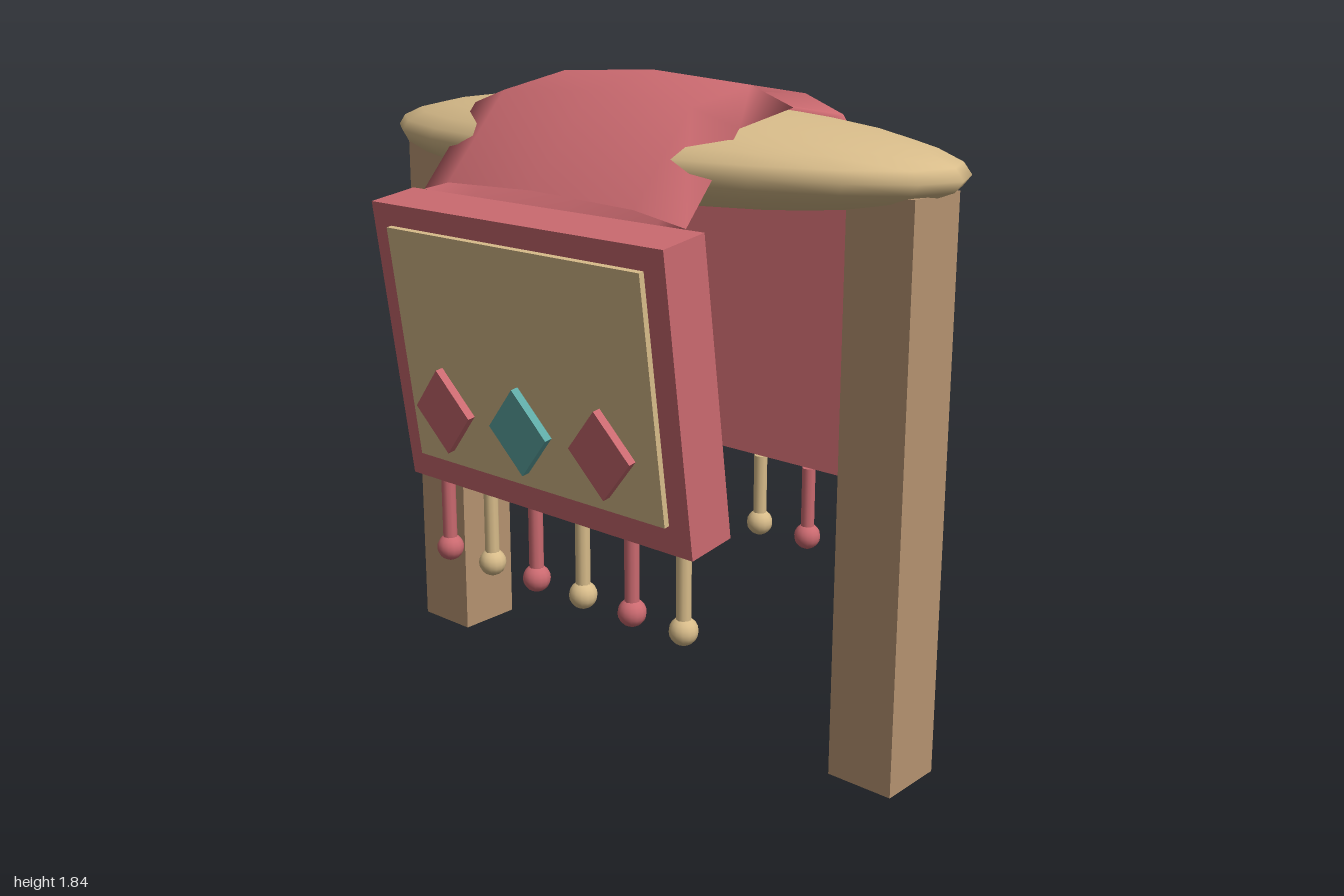
import * as THREE from 'three';

const material = (name, color) => Object.assign(new THREE.MeshStandardMaterial({ color }), { name });

export function createModel() {
  const red = material('rose red', 0xcb6a70);
  red.side = THREE.DoubleSide; // the strap is an open tube
  const tan = material('sand', 0xd8bc8a);
  const wood = material('wood brown', 0xb49270);
  const teal = material('teal', 0x5faaa6);

  const model = new THREE.Group();
  model.name = 'saddlebagStand';

  const add = (parent, name, geometry, mat, x, y, z) => {
    const mesh = new THREE.Mesh(geometry, mat);
    mesh.name = name;
    mesh.position.set(x, y, z);
    parent.add(mesh);
    return mesh;
  };

  // Wooden posts and the flattened beam they carry
  const postGeometry = new THREE.BoxGeometry(0.2, 1.59, 0.2);
  add(model, 'leftPost', postGeometry, wood, 0.83, 0.795, 0);
  add(model, 'rightPost', postGeometry, wood, -0.83, 0.795, 0);
  const beamGeometry = new THREE.SphereGeometry(1, 20, 14).scale(1, 0.135, 0.38);
  add(model, 'beam', beamGeometry, tan, 0, 1.63, 0);

  add(model, 'strap', strapGeometry(), red, 0, 0, 0);

  const bagGeometry = new THREE.BoxGeometry(1.08, 0.825, 0.152);
  const panelGeometry = new THREE.BoxGeometry(0.94, 0.68, 0.02);
  const diamondShape = new THREE.Shape([
    new THREE.Vector2(0.108, 0), new THREE.Vector2(0, 0.125),
    new THREE.Vector2(-0.108, 0), new THREE.Vector2(0, -0.125),
  ]);
  const diamondGeometry = new THREE.ExtrudeGeometry(diamondShape, { depth: 0.024, bevelEnabled: false });
  diamondGeometry.translate(0, 0, -0.012);
  const cordGeometry = new THREE.CylinderGeometry(0.021, 0.021, 0.2, 10);
  const beadGeometry = new THREE.SphereGeometry(0.04, 14, 10);

  // One hanging bag on each side, tilted outward at the top
  for (const side of [1, -1]) {
    const bag = new THREE.Group();
    bag.name = side > 0 ? 'frontBag' : 'backBag';
    bag.position.set(0, 1.088, side * 0.433);
    bag.rotation.x = side * THREE.MathUtils.degToRad(8);
    model.add(bag);
    add(bag, 'bagBody', bagGeometry, red, 0, 0, 0);
    add(bag, 'bagPanel', panelGeometry, tan, 0, 0.01, side * 0.083);
    for (const x of [-0.3, 0, 0.3]) {
      add(bag, 'diamond', diamondGeometry, x === 0 ? teal : red, x, -0.153, side * 0.121);
    }

    // Fringe of cords ending in beads
    const fringe = new THREE.Group();
    fringe.name = side > 0 ? 'frontFringe' : 'backFringe';
    model.add(fringe);
    for (let i = 0; i < 6; i++) {
      const x = -0.46 + i * 0.184;
      const mat = i % 2 ? tan : red;
      add(fringe, 'cord', cordGeometry, mat, x, 0.555, side * 0.392);
      add(fringe, 'bead', beadGeometry, mat, x, 0.437, side * 0.392);
    }
  }
  return model;
}

// Flat eight-sided tube over the beam, with a half twist just behind the top
function strapGeometry() {
  const sides = 8;
  // z, y, lean of the cross-section, twist
  const rings = [
    [0.42, 1.51, 0.785, 0],
    [0.22, 1.735, 0.42, 0],
    [0, 1.77, 0, 0],
    [-0.22, 1.735, -0.42, Math.PI],
    [-0.42, 1.51, -0.785, Math.PI],
  ];
  const positions = [];
  const index = [];
  rings.forEach(([z, y, lean, twist], j) => {
    for (let i = 0; i < sides; i++) {
      const angle = (i / sides) * Math.PI * 2 + twist;
      const out = 0.07 * Math.sin(angle);
      positions.push(0.485 * Math.cos(angle), y + out * Math.cos(lean), z + out * Math.sin(lean));
      if (j === rings.length - 1) continue;
      const next = (i + 1) % sides;
      const a = j * sides + i, b = a + sides;
      const d = j * sides + next, c = d + sides;
      index.push(a, b, c, a, c, d);
    }
  });
  const geometry = new THREE.BufferGeometry();
  geometry.setAttribute('position', new THREE.Float32BufferAttribute(positions, 3));
  geometry.setIndex(index);
  geometry.computeVertexNormals();
  return geometry;
}
